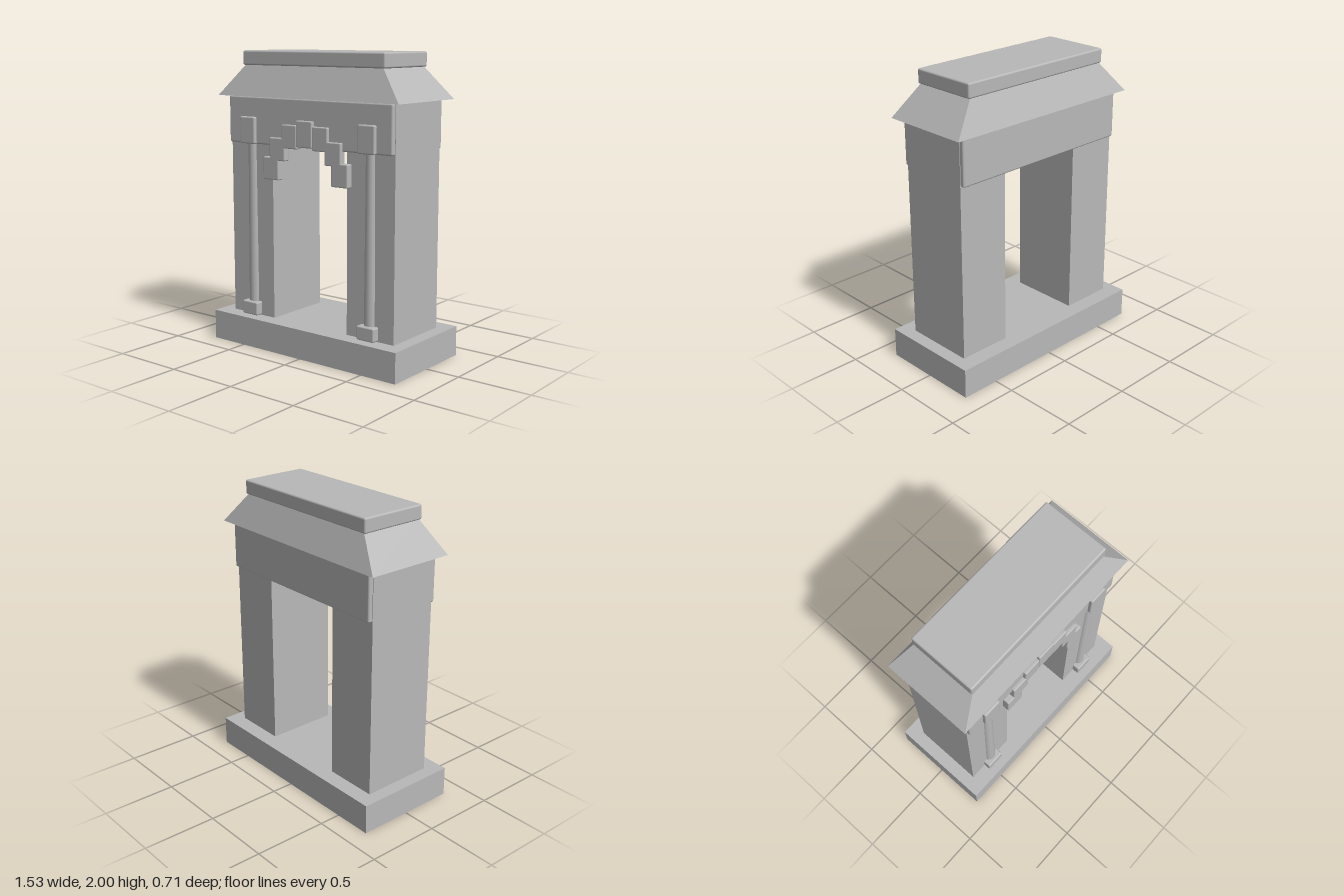
import * as THREE from 'three';
import { RoundedBoxGeometry } from 'three/addons/geometries/RoundedBoxGeometry.js';

export function createModel() {
  const group = new THREE.Group();
  const stone = new THREE.MeshStandardMaterial({ color: 0xb8b8b8 });
  stone.name = 'grey stone';

  const add = (name, geometry) => {
    const mesh = new THREE.Mesh(geometry, stone);
    mesh.name = name;
    group.add(mesh);
    return mesh;
  };

  // Boxes are given by their limits; a radius softens the edges
  const block = (name, [x0, x1], [y0, y1], [z0, z1], radius = 0) => {
    const size = [x1 - x0, y1 - y0, z1 - z0];
    const geometry = radius
      ? new RoundedBoxGeometry(...size, 2, radius)
      : new THREE.BoxGeometry(...size);
    add(name, geometry).position.set((x0 + x1) / 2, (y0 + y1) / 2, (z0 + z1) / 2);
  };

  // Plinth and beam
  block('plinth', [-0.765, 0.765], [0, 0.2], [-0.355, 0.355]);
  block('lintel', [-0.672, 0.672], [1.385, 1.699], [-0.275, 0.275], 0.012);

  // Hipped roof: a box with its upper corners drawn inwards
  const roof = new THREE.BoxGeometry(1.476, 0.21, 0.62);
  const p = roof.attributes.position;
  for (let i = 0; i < p.count; i++) {
    if (p.getY(i) > 0) {
      p.setX(i, Math.sign(p.getX(i)) * 0.56);
      p.setZ(i, Math.sign(p.getZ(i)) * 0.22);
    }
  }
  const roofGeometry = roof.toNonIndexed();
  roofGeometry.computeVertexNormals();
  add('roof', roofGeometry).position.y = 1.805;
  block('roofCap', [-0.583, 0.583], [1.903, 2], [-0.233, 0.233], 0.012);

  // Stepped arch: half width limits and heights of each step
  const archSteps = [
    [0.065, 0.19, 1.375, 1.53],
    [0.165, 0.295, 1.29, 1.44],
    [0.22, 0.35, 1.16, 1.31],
  ];
  block('archKeystone', [-0.066, 0.066], [1.39, 1.562], [0.245, 0.3], 0.008);

  // Piers, engaged columns and arch steps on both sides
  for (const [side, s] of [['left', 1], ['right', -1]]) {
    const span = (a, b) => (s > 0 ? [a, b] : [-b, -a]);
    block(side + 'Pier', span(0.31, 0.676), [0.2, 1.7], [-0.246, 0.246]);
    block(side + 'ColumnBase', span(0.423, 0.557), [0.204, 0.296], [0.19, 0.298], 0.01);
    block(side + 'ColumnCapital', span(0.426, 0.556), [1.385, 1.565], [0.19, 0.3], 0.01);
    add(side + 'ColumnShaft', new THREE.CylinderGeometry(0.037, 0.044, 1.14, 16))
      .position.set(s * 0.49, 0.84, 0.232);
    archSteps.forEach(([a, b, low, high], i) =>
      block(side + 'ArchStep' + (i + 1), span(a, b), [low, high], [0.247, 0.298], 0.008));
  }
  return group;
}
